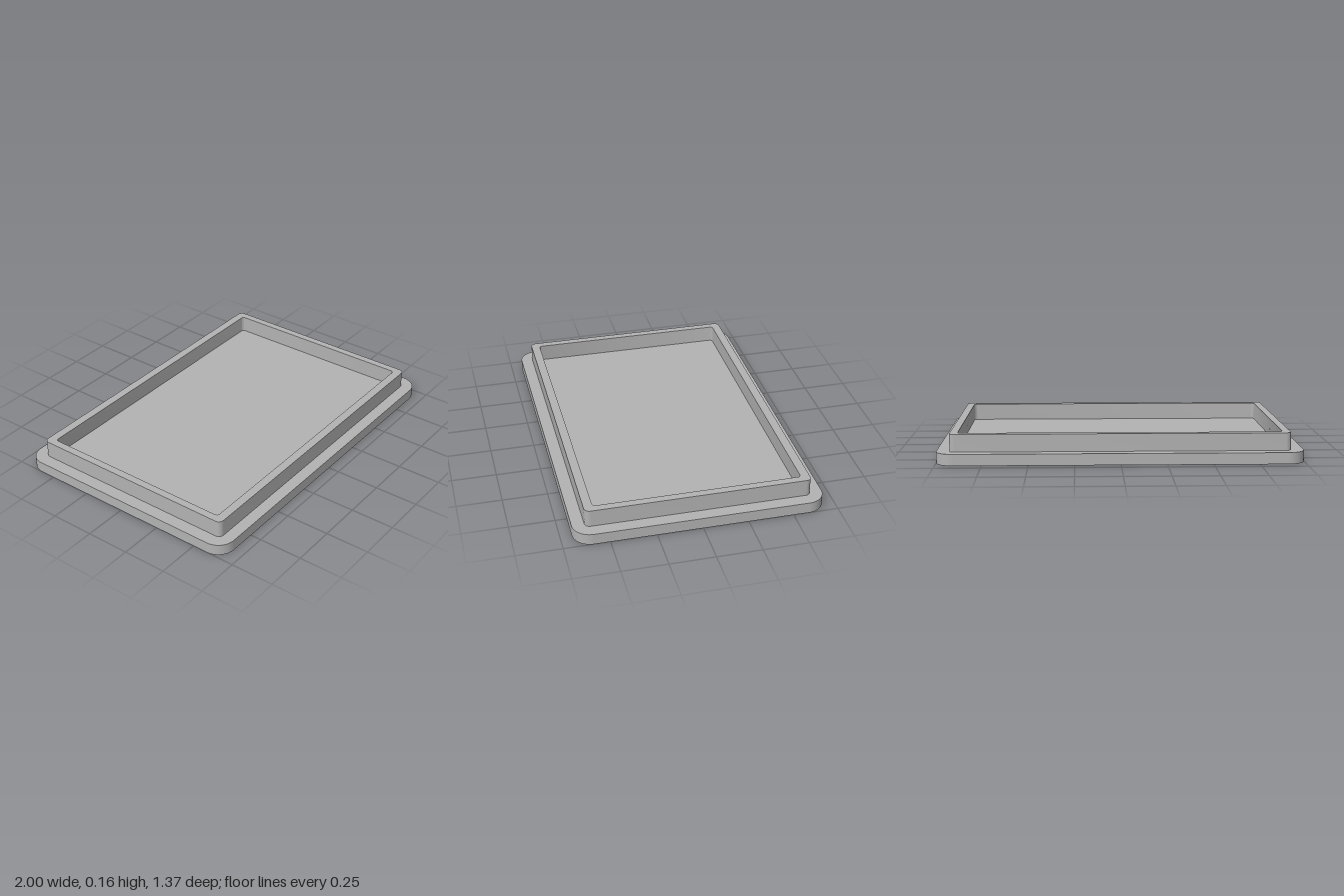
import * as THREE from 'three';
import { toCreasedNormals } from 'three/addons/utils/BufferGeometryUtils.js';

// Rounded rectangle outline with half sizes a, b and corner radius r
function roundedRect(a, b, r, target = new THREE.Shape()) {
  target.moveTo(a, -b + r);
  target.lineTo(a, b - r);
  target.absarc(a - r, b - r, r, 0, Math.PI / 2);
  target.lineTo(-a + r, b);
  target.absarc(-a + r, b - r, r, Math.PI / 2, Math.PI);
  target.lineTo(-a, -b + r);
  target.absarc(-a + r, -b + r, r, Math.PI, Math.PI * 1.5);
  target.lineTo(a - r, -b);
  target.absarc(a - r, -b + r, r, Math.PI * 1.5, Math.PI * 2);
  return target;
}

// Slab raised from y0 to y1, with smooth corners and sharp edges
function slab(name, shape, y0, y1, material) {
  const geometry = new THREE.ExtrudeGeometry(shape, {
    depth: y1 - y0, bevelEnabled: false, curveSegments: 12,
  });
  geometry.rotateX(-Math.PI / 2);
  geometry.translate(0, y0, 0);
  const mesh = new THREE.Mesh(toCreasedNormals(geometry, Math.PI / 6), material);
  mesh.name = name;
  return mesh;
}

export function createModel() {
  const grey = new THREE.MeshStandardMaterial({ color: 0xb3b3b3 });
  grey.name = 'grey';

  const group = new THREE.Group();
  group.name = 'lid';

  // Flat plate with rounded corners
  const baseTop = 0.063;
  group.add(slab('basePlate', roundedRect(1, 0.687, 0.1), 0, baseTop, grey));

  // Raised rim, an open frame set in from the plate edge
  const rim = roundedRect(0.928, 0.619, 0.03);
  rim.holes.push(roundedRect(0.885, 0.57, 0.018, new THREE.Path()));
  group.add(slab('raisedRim', rim, baseTop, 0.16, grey));

  return group;
}
